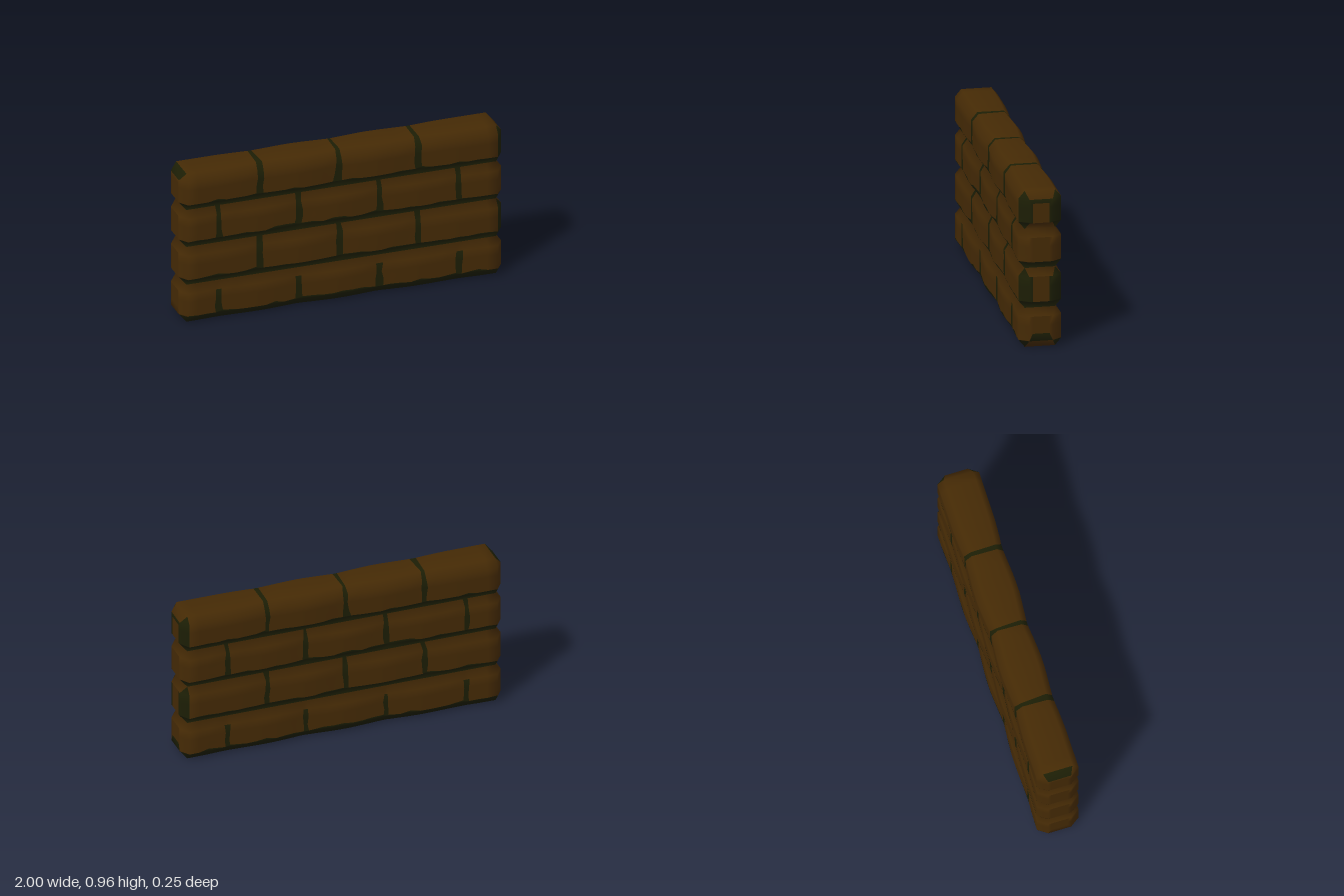
import * as THREE from 'three';
import { mergeVertices } from 'three/addons/utils/BufferGeometryUtils.js';

const CHAMFER = 0.045;
const COURSE_Y = [0, 0.24, 0.485, 0.725, 0.96];
const JOINTS = [[-0.77, -0.27, 0.23, 0.72], [-0.51, -0.02, 0.47]];
const LEVELS = 7; // points up one side of the cross-section

let seed = 7;
const rnd = () => (seed = (seed * 16807) % 2147483647) / 2147483647;

// Cross-sections along x: ends, joint edges and plain stations between them
function makeSections(joints) {
  const list = [{ x: -0.96, end: 0, joint: 0 }, { x: 0.96, end: 0, joint: 0 }];
  for (const x of joints) {
    list.push({ x: x - 0.002, end: 0, joint: -1 }, { x: x + 0.002, end: 0, joint: 1 });
  }
  for (let x = -0.9; x < 0.92; x += 0.06) {
    if (joints.every(j => Math.abs(j - x) > 0.065)) list.push({ x, end: 0, joint: 0 });
  }
  list.sort((a, b) => a.x - b.x);
  for (const end of [1, 2, 3]) {
    list.unshift({ x: -1, end, joint: 0 });
    list.push({ x: 1, end, joint: 0 });
  }
  return list;
}

// The faces sink gently towards each joint, most in the middle of the wall
function recess(x, joints) {
  const d = Math.min(...joints.map(j => Math.abs(j - x)));
  return 0.016 * (1 - x * x) * Math.max(0, 1 - d / 0.2);
}

// Mortar on the end chamfers and end faces
function endIsMortar(row, k, band, a, b) {
  const right = b.x > 0.97;
  const face = Math.min(a.end, b.end) > 0;
  const centre = Math.max(a.end, b.end) === 3;
  if (k === LEVELS - 1) return row === 3 && face === right;
  if (k === 2 * LEVELS - 1) return row === 0 ? face === right : !(row === 3 && right);
  return !centre && ((right && row % 2 === 1) || band === 0);
}

// One chamfered course of bricks, with mortar faces in a second group
function courseGeometry(row, h) {
  const joints = JOINTS[row % 2];
  const sections = makeSections(joints);
  const n = LEVELS * 2;
  const positions = [], brick = [], mortar = [];
  for (const s of sections) {
    const slump = row % 2 === 0 && s.x > -0.28 && s.x < 0.05 ? 0.012 : 0;
    const ragged = CHAMFER + 0.001 + slump * rnd() + 0.018 * rnd() ** 4;
    const ys = [0, CHAMFER, ragged, 0.09, 0.14, h - CHAMFER, h];
    const sink = recess(s.x, joints);
    for (let i = 0; i < n; i++) {
      const level = i < LEVELS ? i : n - 1 - i;
      const edge = level === 0 || level === LEVELS - 1;
      // edges shared by two courses stay straight
      const shared = (level === 0 && row > 0) || (level === LEVELS - 1 && row < 3);
      let z = (edge ? 0.09 : 0.127) - (shared ? 0 : sink);
      let y = ys[level], x = s.x;
      if (s.end) {
        z = Math.min(z, [0, 0.07, 0.05, 0][s.end]);
        const low = s.end > 1 && row === 0 ? 0.09 : CHAMFER;
        const high = s.end > 1 && row === 3 ? 0.07 : CHAMFER;
        y = THREE.MathUtils.clamp(y, low, h - high);
      }
      // joints are ragged, wider at the bottom and on the front
      if (s.joint) {
        x += s.joint * (0.021 - level * 0.001) * (i < LEVELS ? 1 : 0.75) + (rnd() - 0.5) * 0.012;
      }
      // one joint leans at its foot
      if (s.joint < 0 && row === 3 && Math.abs(s.x) < 0.1) x -= Math.max(0, 4 - level) * 0.009;
      positions.push(x, y, i < LEVELS ? z : -z);
    }
  }
  for (let s = 0; s < sections.length - 1; s++) {
    const a = sections[s], b = sections[s + 1];
    const isJoint = a.joint < 0 && b.joint > 0;
    const isEnd = a.end + b.end > 0;
    for (let k = 0; k < n; k++) {
      const k2 = (k + 1) % n;
      const top = k === LEVELS - 1, bottom = k === n - 1;
      // no faces between stacked courses
      if (!isEnd && ((top && row < 3) || (bottom && row > 0))) continue;
      const band = k < LEVELS ? k : n - 2 - k;
      let isMortar;
      if (isEnd) isMortar = endIsMortar(row, k, band, a, b);
      else if (top) isMortar = isJoint;
      else if (bottom) isMortar = false;
      else isMortar = band < 2 || (isJoint && (row > 0 || band < 5));
      const p = s * n + k, q = p + n, p2 = s * n + k2, q2 = p2 + n;
      (isMortar ? mortar : brick).push(p, q, q2, p, q2, p2);
    }
  }
  let g = new THREE.BufferGeometry();
  g.setAttribute('position', new THREE.Float32BufferAttribute(positions, 3));
  g.setIndex([...brick, ...mortar]);
  g = mergeVertices(g, 1e-4);
  g.clearGroups();
  g.addGroup(0, brick.length, 0);
  g.addGroup(brick.length, mortar.length, 1);
  g.computeVertexNormals();

  // Blend the shading across the groove between two courses
  const pos = g.attributes.position, normal = g.attributes.normal;
  const v = new THREE.Vector3();
  for (let i = 0; i < pos.count; i++) {
    const y = pos.getY(i);
    if ((row > 0 && y < 0.001) || (row < 3 && y > h - 0.001)) {
      v.fromBufferAttribute(normal, i).setY(0).normalize();
      normal.setXYZ(i, v.x, v.y, v.z);
    }
  }
  return g;
}

export function createModel() {
  seed = 7;
  const brickBrown = new THREE.MeshStandardMaterial({ color: 0x452a05 });
  brickBrown.name = 'brickBrown';
  const mortarGreen = new THREE.MeshStandardMaterial({ color: 0x1c1e05 });
  mortarGreen.name = 'mortarGreen';

  const wall = new THREE.Group();
  wall.name = 'brickWall';
  // Four stacked courses with alternating joints
  for (let row = 0; row < 4; row++) {
    const h = COURSE_Y[row + 1] - COURSE_Y[row];
    const course = new THREE.Mesh(courseGeometry(row, h), [brickBrown, mortarGreen]);
    course.name = 'brickCourse' + (row + 1);
    course.position.y = COURSE_Y[row];
    wall.add(course);
  }
  return wall;
}
